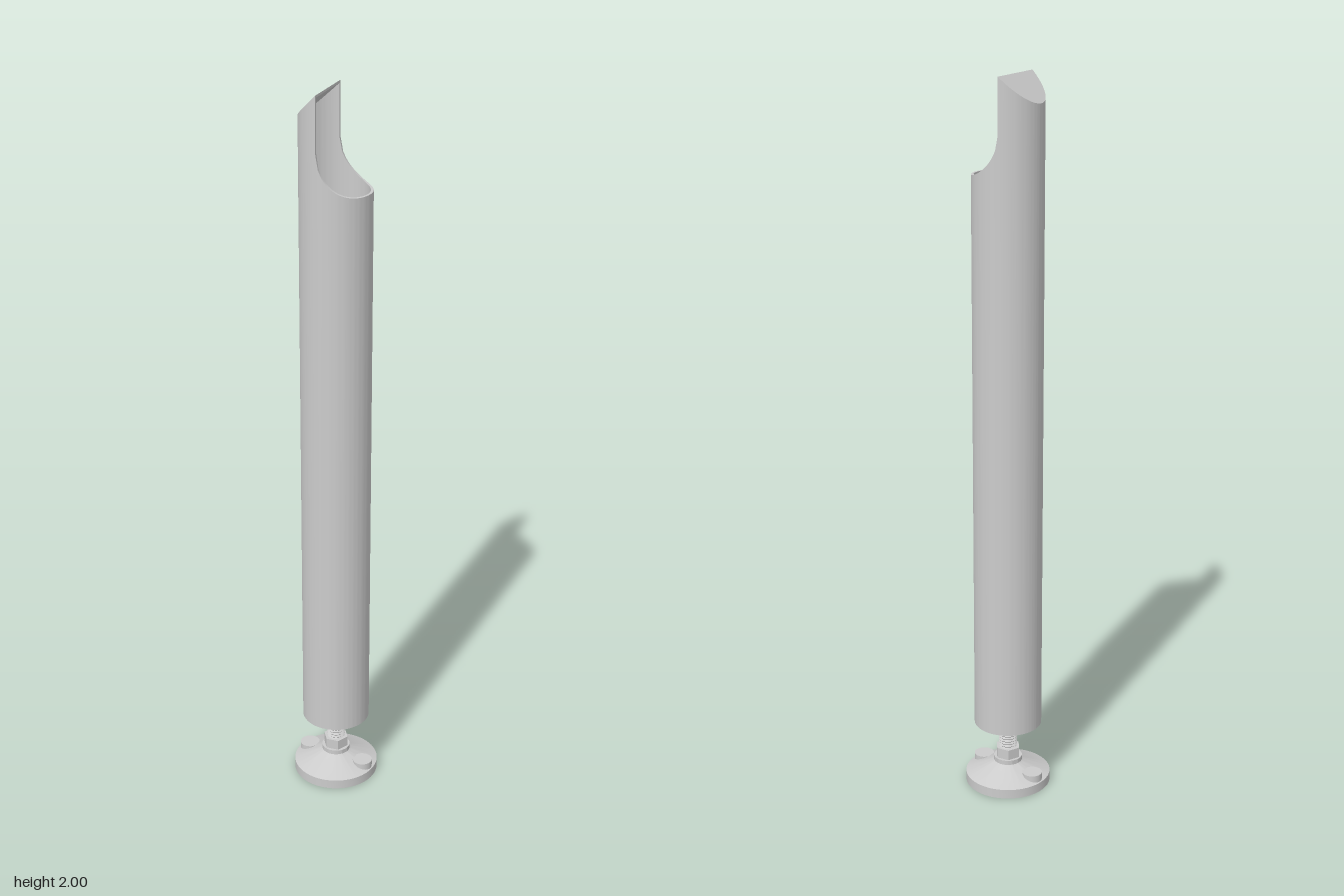
import * as THREE from 'three';
import { toCreasedNormals } from 'three/addons/utils/BufferGeometryUtils.js';

const material = new THREE.MeshStandardMaterial({ color: 0xcccccc });
const OUTER = 0.095, INNER = 0.088, BOTTOM = 0.185, TOP = 2;
const APEX = -0.021;              // offset of the straight top edge from the tube axis
const SADDLE_R = 0.112, SADDLE_Y = 1.857;

// Height of the sloped lid and of the saddle cut at offset d across the tube
const lidY = d => TOP - 0.95 * (APEX - d);
const saddleY = d => SADDLE_Y - Math.sqrt(Math.max(0, SADDLE_R ** 2 - (SADDLE_R - (d - APEX)) ** 2));

function add(parent, name, geometry, x = 0, y = 0, z = 0) {
  const mesh = new THREE.Mesh(geometry, material);
  mesh.name = name;
  mesh.position.set(x, y, z);
  parent.add(mesh);
  return mesh;
}

const lathe = (points, segments = 64) =>
  toCreasedNormals(new THREE.LatheGeometry(points.map(p => new THREE.Vector2(...p)), segments), 0.5);

// Hollow wall: a loop of cross-sections, saddle side first, then the lid side
function tubeGeometry() {
  const steps = 48, columns = [];
  const point = (r, angle, y) => [r * Math.cos(angle), y, r * Math.sin(angle)];
  const column = (t, isLid) => {
    const at = r => {
      const a0 = Math.acos(APEX / r);
      const angle = isLid ? a0 + t * 2 * (Math.PI - a0) : (2 * t - 1) * a0;
      const d = r * Math.cos(angle);
      return [point(r, angle, BOTTOM), point(r, angle, isLid ? lidY(d) : saddleY(d))];
    };
    const [ob, ot] = at(OUTER), [ib, it] = at(INNER);
    columns.push([ob, ot, it, ib]);
  };
  for (const isLid of [false, true]) {
    for (let i = 0; i <= steps; i++) column(i / steps, isLid);
  }
  const positions = [];
  columns.forEach((a, i) => {
    const b = columns[(i + 1) % columns.length];
    for (let k = 0; k < 4; k++) {
      const n = (k + 1) % 4;
      positions.push(...a[k], ...a[n], ...b[k], ...a[n], ...b[n], ...b[k]);
    }
  });
  const geometry = new THREE.BufferGeometry();
  geometry.setAttribute('position', new THREE.Float32BufferAttribute(positions, 3));
  return toCreasedNormals(geometry, 0.5);
}

// Thin plate filling the lid side, sheared to the slope
function lidGeometry() {
  const a0 = Math.acos(APEX / INNER), thickness = 0.006;
  const shape = new THREE.Shape();
  shape.absarc(0, 0, INNER, a0, 2 * Math.PI - a0, false);
  const geometry = new THREE.ExtrudeGeometry(shape, { depth: thickness, bevelEnabled: false, curveSegments: 48 });
  geometry.rotateX(-Math.PI / 2);
  const p = geometry.attributes.position;
  for (let i = 0; i < p.count; i++) p.setY(i, p.getY(i) - thickness + lidY(p.getX(i)));
  return toCreasedNormals(geometry, 0.5);
}

export function createModel() {
  const model = new THREE.Group();
  model.name = 'adjustableLeg';

  // Tube with the notched top, turned 30 degrees about its axis
  const leg = new THREE.Group();
  leg.name = 'tubeLeg';
  leg.rotation.y = Math.PI / 6;
  model.add(leg);
  add(leg, 'tubeWall', tubeGeometry());
  add(leg, 'slopedLid', lidGeometry());
  add(leg, 'tubeFloor', new THREE.CylinderGeometry(INNER, INNER, 0.015, 64), 0, BOTTOM + 0.0075);

  // Threaded rod
  const rod = [[0, 0.06], [0.022, 0.06]];
  for (let y = 0.1; y < 0.2; y += 0.008) rod.push([0.022, y], [0.026, y + 0.004]);
  rod.push([0.028, 0.2], [0.028, 0.225], [0, 0.225]);
  add(model, 'threadedRod', lathe(rod, 32));

  // Levelling foot
  add(model, 'footPad', lathe([
    [0, 0], [0.12, 0], [0.12, 0.027], [0.045, 0.058], [0.04, 0.062], [0.04, 0.075], [0, 0.075],
  ]));
  add(model, 'hexNut', toCreasedNormals(new THREE.CylinderGeometry(0.036, 0.036, 0.03, 6), 0.5), 0, 0.09);

  // Fixing bosses on opposite sides of the pad
  for (const side of [1, -1]) {
    add(model, 'footBoss', new THREE.CylinderGeometry(0.028, 0.028, 0.03, 32), side * 0.084, 0.035, side * -0.029);
  }
  return model;
}
